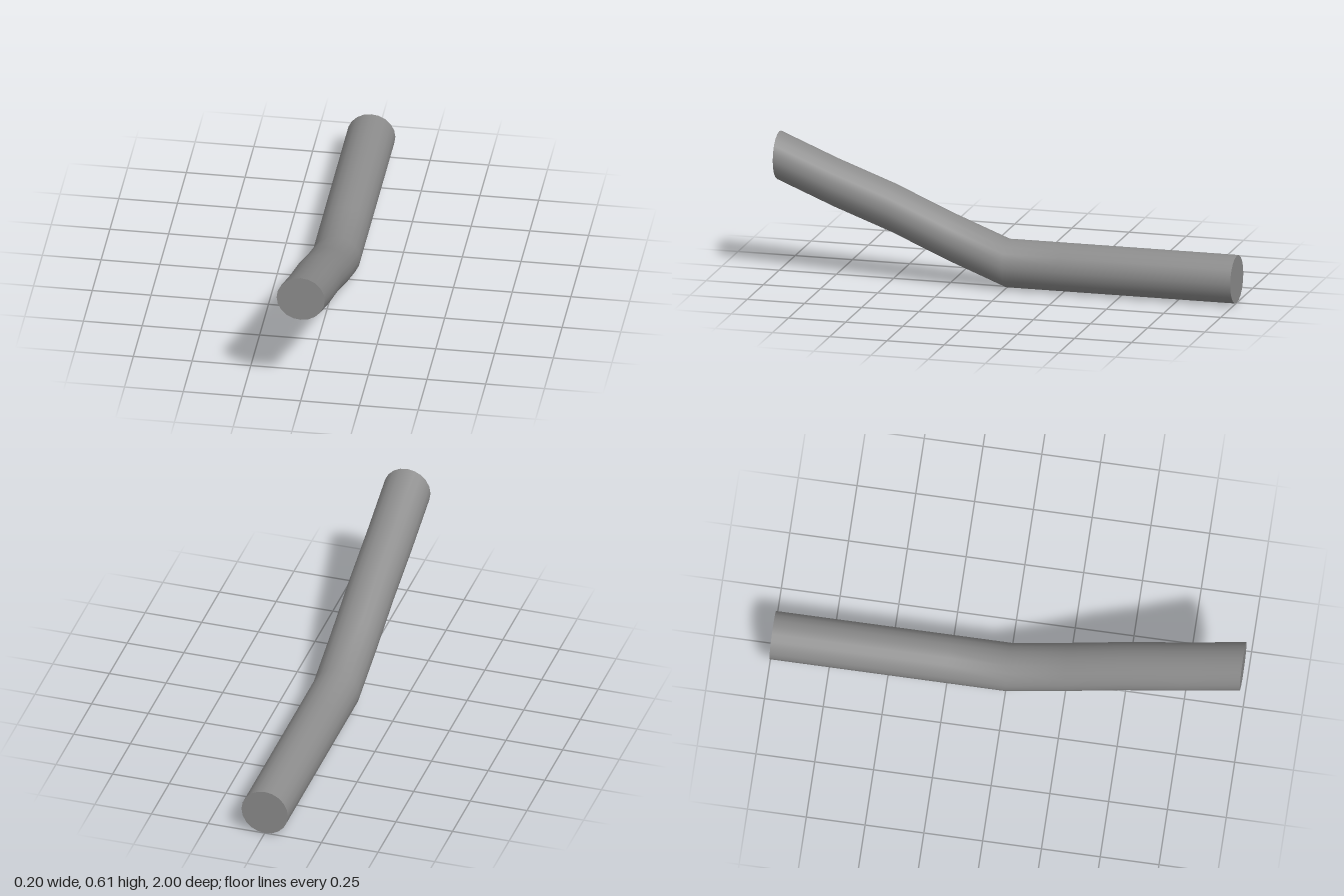
import * as THREE from 'three';

const RADIUS = 0.1025;
// Height of the tube's centre line at evenly spaced stations from z = -1 to z = 1
const HEIGHTS = [0.1025, 0.1025, 0.1025, 0.1025, 0.1025, 0.2, 0.308, 0.4, 0.5025];
const LAST = HEIGHTS.length - 1;

export function createModel() {
  const group = new THREE.Group();
  group.name = 'bentRod';

  // Straight 20-sided rod along z, one ring per station
  const geometry = new THREE.CylinderGeometry(RADIUS, RADIUS, 2, 20, LAST);
  geometry.rotateX(Math.PI / 2);

  // Lift each upright ring to the centre line and tilt the side normals to suit
  const pos = geometry.attributes.position;
  const normal = geometry.attributes.normal;
  const n = new THREE.Vector3();
  for (let i = 0; i < pos.count; i++) {
    const k = Math.round((pos.getZ(i) + 1) * LAST / 2);
    pos.setY(i, pos.getY(i) + HEIGHTS[k]);
    n.fromBufferAttribute(normal, i);
    if (Math.abs(n.z) > 0.5) continue; // flat end caps
    const a = Math.max(k - 1, 0), b = Math.min(k + 1, LAST);
    const slope = (HEIGHTS[b] - HEIGHTS[a]) / ((b - a) * 2 / LAST);
    n.z = -slope * n.y;
    n.normalize();
    normal.setXYZ(i, n.x, n.y, n.z);
  }

  const rod = new THREE.Mesh(geometry, new THREE.MeshStandardMaterial({ color: 0x8c8c8c }));
  rod.name = 'rod';
  group.add(rod);
  return group;
}
